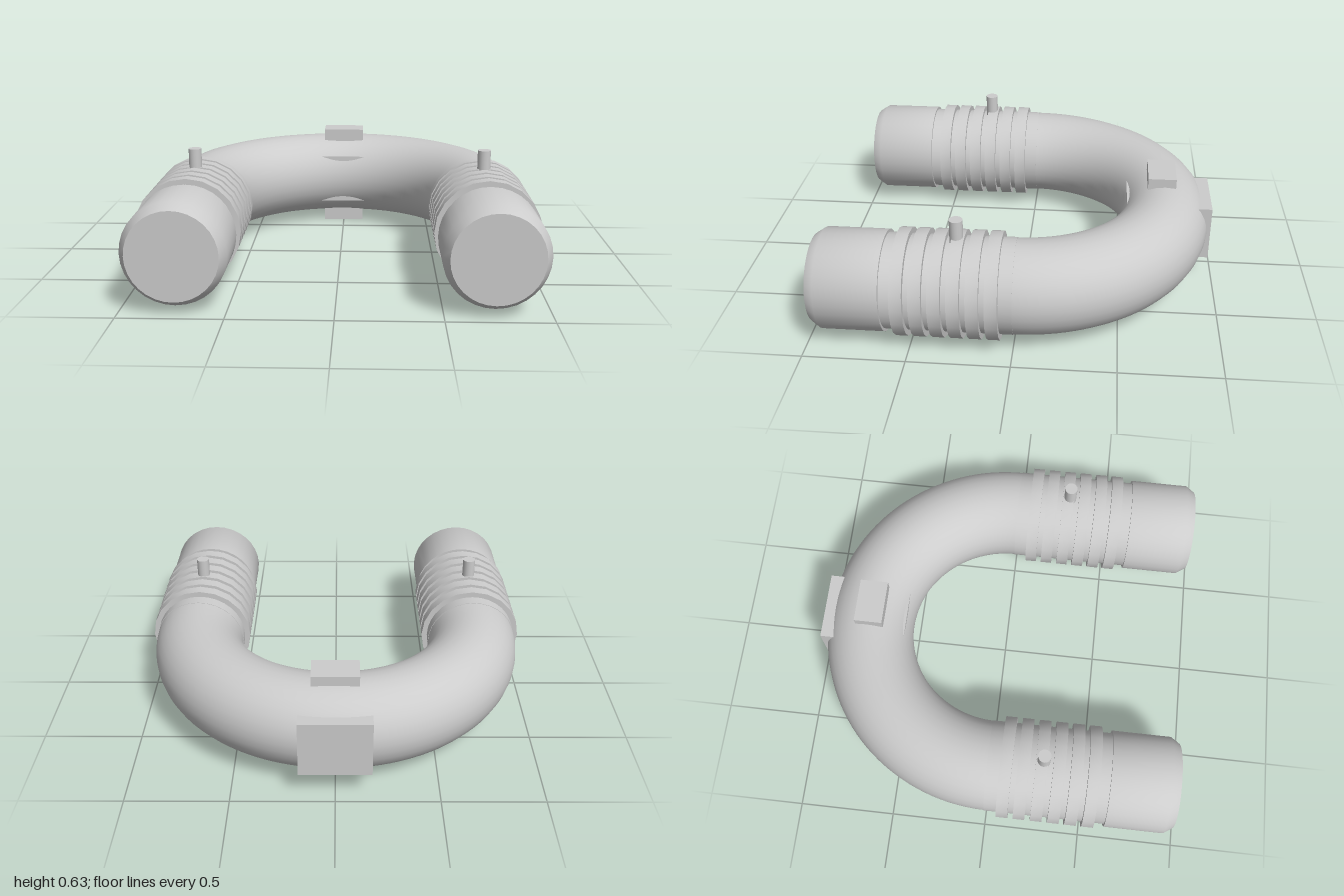
import * as THREE from 'three';
import { toCreasedNormals } from 'three/addons/utils/BufferGeometryUtils.js';

const CY = 0.282;  // height of the tube axis
const R = 0.735;   // bend radius, also the x offset of each leg
const SIDES = 20;

export function createModel() {
  const model = new THREE.Group();
  const steel = new THREE.MeshStandardMaterial({ color: 0xcccccc });
  steel.name = 'light grey';

  const add = (name, geometry, parent, x, y, z) => {
    const mesh = new THREE.Mesh(geometry, steel);
    mesh.name = name;
    mesh.position.set(x, y, z);
    parent.add(mesh);
    return mesh;
  };

  // Turned part along +z from [radius, z] points
  const turned = (profile, sides = SIDES) => {
    const g = new THREE.LatheGeometry(profile.map(([r, z]) => new THREE.Vector2(r, z)), sides);
    g.rotateX(Math.PI / 2);
    return toCreasedNormals(g, 0.7);
  };

  // Half-circle tube
  const bend = new THREE.TorusGeometry(R, 0.232, 32, 64, Math.PI);
  bend.rotateX(-Math.PI / 2);
  add('bentTube', bend, model, 0, CY, 0);

  // Mounting lugs at the back of the bend
  add('verticalLug', new THREE.BoxGeometry(0.23, 0.56, 0.145), model, 0, 0.28, -0.708);
  add('backPlate', new THREE.BoxGeometry(0.35, 0.29, 0.12), model, 0, CY, -0.91);
  add('innerLug', new THREE.BoxGeometry(0.3, 0.27, 0.3), model, 0, CY, -0.681);

  const sleeveGeo = turned([[0, -0.005], [0.234, -0.005], [0.234, 0.63], [0, 0.63]], 32);
  const ringGeo = turned([[0.2, -0.03], [0.263, -0.03], [0.263, 0.03], [0.2, 0.03]]);
  const capGeo = turned([[0, 0.615], [0.248, 0.615], [0.248, 0.92], [0.217, 0.967], [0, 0.967]], 32);
  const pinGeo = new THREE.CylinderGeometry(0.033, 0.033, 0.2, 16);

  // Two mirrored legs with ribs, pin and end cap
  for (const side of [-1, 1]) {
    const leg = new THREE.Group();
    leg.name = side > 0 ? 'leftLeg' : 'rightLeg';
    leg.position.set(side * R, CY, 0);
    model.add(leg);
    add('sleeve', sleeveGeo, leg, 0, 0, 0);
    for (let i = 0; i < 6; i++) add('rib', ringGeo, leg, 0, 0, 0.09 + i * 0.088);
    add('endCap', capGeo, leg, 0, 0, 0);
    add('pin', pinGeo, leg, 0, 0.253, 0.275);
  }
  return model;
}
